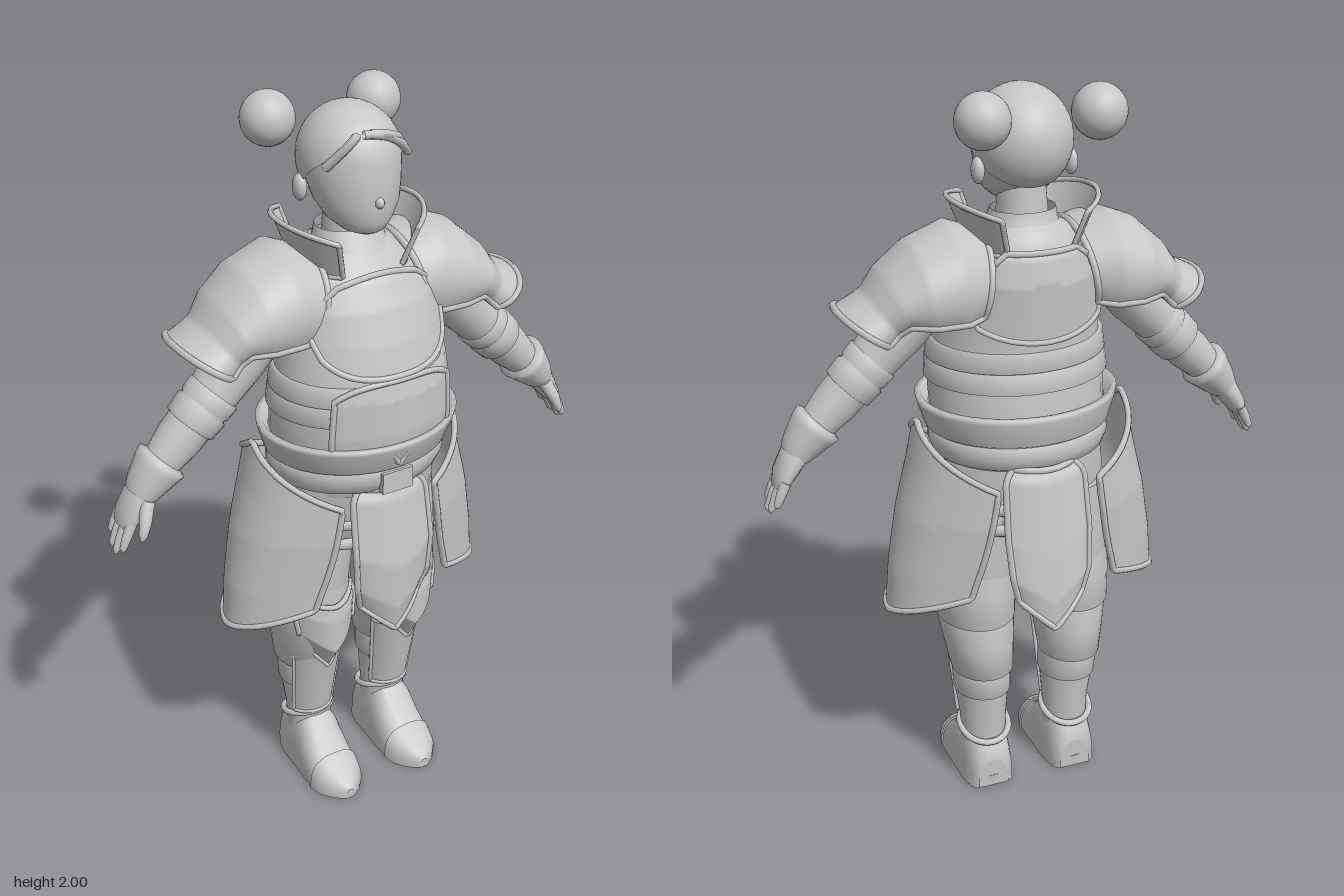
import * as THREE from 'three';
import { ParametricGeometry } from 'three/addons/geometries/ParametricGeometry.js';

const clay = new THREE.MeshStandardMaterial({ color: 0xc6c6c6, side: THREE.DoubleSide });
clay.name = 'light grey';
const V = (x, y, z) => new THREE.Vector3(x, y, z);
const { abs, sin, cos, pow, sign, PI } = Math;
const lerp = THREE.MathUtils.lerp;

function add(parent, name, geometry, x = 0, y = 0, z = 0) {
  const m = new THREE.Mesh(geometry, clay);
  m.name = name;
  m.position.set(x, y, z);
  parent.add(m);
  return m;
}

// Interpolates a table whose first column is the key (ascending)
function table(rows, k) {
  let i = 0;
  while (i < rows.length - 2 && k > rows[i + 1][0]) i++;
  const t = THREE.MathUtils.clamp((k - rows[i][0]) / (rows[i + 1][0] - rows[i][0]), 0, 1);
  return rows[i].map((a, j) => lerp(a, rows[i + 1][j], t));
}

// Skins closed rings of points, optionally capping both ends
function loft(rings, caps = true) {
  const n = rings[0].length, pos = [], idx = [];
  rings.forEach(r => r.forEach(p => pos.push(p.x, p.y, p.z)));
  for (let i = 0; i < rings.length - 1; i++)
    for (let j = 0; j < n; j++) {
      const a = i * n + j, b = i * n + (j + 1) % n;
      idx.push(a, a + n, b, b, a + n, b + n);
    }
  if (caps) [0, rings.length - 1].forEach((k, e) => {
    const c = rings[k].reduce((s, p) => s.add(p), V(0, 0, 0)).divideScalar(n);
    const start = pos.length / 3;
    pos.push(c.x, c.y, c.z);
    rings[k].forEach(p => pos.push(p.x, p.y, p.z));
    for (let j = 0; j < n; j++) {
      const a = start + 1 + j, b = start + 1 + (j + 1) % n;
      e ? idx.push(start, b, a) : idx.push(start, a, b);
    }
  });
  const g = new THREE.BufferGeometry();
  g.setAttribute('position', new THREE.Float32BufferAttribute(pos, 3));
  g.setIndex(idx);
  g.computeVertexNormals();
  return g;
}
const ring = (f, n = 32) => Array.from({ length: n }, (_, i) => f(i / n * 2 * PI));

// Upright body from rows of [y, centre x, half width, front z, back z]
const upright = (rows, caps) => loft(rows.map(([y, cx, w, zf, zb]) => ring(a =>
  V(cx + w * sin(a), y, (zf + zb) / 2 + (zf - zb) / 2 * cos(a)))), caps);

// Limb along points [x, y, z, thickness, z radius]
const limb = pts => loft(pts.map(([x, y, z, r, rz], i) => {
  const p = pts[Math.max(i - 1, 0)], q = pts[Math.min(i + 1, pts.length - 1)];
  const t = V(q[0] - p[0], q[1] - p[1], 0).normalize();
  return ring(a => V(x - t.y * r * cos(a), y + t.x * r * cos(a), z + rz * sin(a)), 20);
}));

// Curved plate f(u -1..1, v 0..1) with a raised rim
function plate(parent, name, f, rim = 0.008) {
  const g = new THREE.Group();
  g.name = name;
  parent.add(g);
  add(g, name + 'Face', new ParametricGeometry((u, v, t) => t.copy(f(u * 2 - 1, v)), 40, 20));
  const pts = [], n = 20;
  for (let i = 0; i < n; i++) pts.push(f(i / n * 2 - 1, 0));
  for (let i = 0; i < n; i++) pts.push(f(1, i / n));
  for (let i = 0; i < n; i++) pts.push(f(1 - i / n * 2, 1));
  for (let i = 0; i < n; i++) pts.push(f(-1, 1 - i / n));
  const curve = new THREE.CatmullRomCurve3(pts, true, 'catmullrom', 0.2);
  add(g, name + 'Rim', new THREE.TubeGeometry(curve, 120, rim, 6, true));
}

// Torso rows: y, half width, front z, back z
const TORSO = [[1.0, .215, .2, -.165], [1.1, .235, .225, -.175], [1.2, .24, .235, -.165], [1.3, .23, .235, -.15],
  [1.36, .22, .222, -.15], [1.44, .205, .2, -.155], [1.52, .195, .17, -.16], [1.58, .17, .135, -.15],
  [1.63, .12, .09, -.125], [1.66, .06, .055, -.08]];
function onTorso(a, y, off) {
  const [, w, zf, zb] = table(TORSO, y);
  return V((w + off) * sin(a), y, (zf + zb) / 2 + ((zf - zb) / 2 + off) * cos(a));
}
const band = list => loft(list.map(([y, off]) => ring(a => onTorso(a, y, off), 48)), false);

function buildTorso(g) {
  add(g, 'torso', upright(TORSO.map(([y, w, f, b]) => [y, 0, w, f, b])));
  const chest = [[0, .62], [.3, .95], [.55, 1.05], [.8, .95], [1, .85]];
  plate(g, 'chestPlate', (u, v) => onTorso(u * table(chest, v)[1],
    lerp(1.595 - .02 * u * u, 1.36 + .05 * pow(abs(u), 3), v), .022));
  plate(g, 'bellyPlate', (u, v) => onTorso(u * .72,
    lerp(1.35 - .04 * pow(abs(u), 3), 1.16 - .05 * Math.max(0, 1 - 6 * abs(u)), v), .022));
  plate(g, 'backPlate', (u, v) => onTorso(PI + u * table(chest, v)[1] * .9,
    lerp(1.6, 1.37 + .04 * u * u, v), .025));
  [[1.285, 1.335], [1.23, 1.28]].forEach(([a, b]) =>
    add(g, 'waistStrap', band([[a, 0], [a, .012], [b, .012], [b, 0]])));
  // Flared waist guard and rolled belt
  add(g, 'waistGuard', band([[1.085, .005], [1.095, .018], [1.16, .034], [1.175, .036], [1.175, .02], [1.15, .002]]));
  add(g, 'belt', band([[1.015, 0], [1.025, .014], [1.055, .02], [1.085, .014], [1.095, 0]]));
  add(g, 'buckle', new THREE.BoxGeometry(.09, .06, .02), 0, 1.055, .232);
  add(g, 'hips', upright([[.76, 0, .15, .1, -.11], [.83, 0, .225, .15, -.15], [.95, 0, .235, .185, -.165], [1.04, 0, .225, .2, -.165]]));
  [.84, .9].forEach(y => {
    const s = add(g, 'hipStrap', new THREE.TorusGeometry(1, .06, 8, 40).rotateX(PI / 2), 0, y, .005);
    s.scale.set(.225, .3, .165);
  });
}

function buildSkirt(g) {
  // Hanging front and back panels: v, half width, front z, back z
  const rows = [[0, .085, .222, -.195], [.07, .11, .235, -.21], [.5, .115, .262, -.24], [.8, .108, .258, -.258], [1, .09, .24, -.255]];
  [1, -1].forEach(s => plate(g, s > 0 ? 'frontPanel' : 'backPanel', (u, v) => {
    const [, w, zf, zb] = table(rows, v);
    const z = s > 0 ? zf : zb;
    return V(u * w, lerp(1.025, .58 + .085 * abs(u), v), z - s * .035 * u * u);
  }, .009));
}

function buildHead(g) {
  add(g, 'neck', new THREE.CylinderGeometry(.06, .075, .16, 24), 0, 1.66, -.01);
  add(g, 'shirtCollar', upright([[1.59, 0, .125, .12, -.13], [1.64, 0, .095, .085, -.1], [1.68, 0, .085, .06, -.09]], false));
  add(g, 'face', upright([[1.685, 0, .03, .105, .03], [1.695, 0, .055, .122, 0], [1.72, 0, .083, .132, -.05], [1.76, 0, .105, .139, -.085],
    [1.81, 0, .117, .138, -.115], [1.87, 0, .12, .136, -.125], [1.92, 0, .105, .122, -.12], [1.96, 0, .06, .07, -.08]]));
  const hair = new THREE.SphereGeometry(1, 40, 24, 0, PI * 2, 0, PI * .56).rotateX(-.7).scale(.129, .136, .141);
  add(g, 'hair', hair, 0, 1.85, -.004);
  // Swept fringe locks
  [[.0, .12, 1.86], [.02, .1, 1.89], [-.02, -.11, 1.86]].forEach(([x0, x1, y1]) => {
    const c = new THREE.QuadraticBezierCurve3(V(x0 - .03, 1.94, .113), V((x0 + x1) / 2, 1.935, .13), V(x1, y1, .07));
    add(g, 'fringeLock', new THREE.TubeGeometry(c, 16, .011, 6));
  });
  add(g, 'nose', new THREE.SphereGeometry(1, 12, 8).scale(.012, .014, .014), 0, 1.775, .138);
  [1, -1].forEach(s => {
    add(g, 'ear', new THREE.SphereGeometry(1, 16, 12).scale(.017, .034, .024), s * .124, 1.785, -.03);
    add(g, 'hairBun', new THREE.SphereGeometry(.069, 28, 20), s * .15, 1.93, -.138);
  });
}

function buildSide(g) {
  // Shoulder guard rows: v, top x, top y, bottom x, bottom y, front z, back z
  const guard = [[0, .12, 1.635, .165, 1.38, .135, -.165], [.2, .2, 1.665, .2, 1.36, .145, -.19], [.4, .3, 1.625, .27, 1.37, .14, -.18],
    [.65, .375, 1.56, .325, 1.4, .128, -.155], [.82, .42, 1.5, .345, 1.39, .112, -.132], [1, .492, 1.462, .355, 1.37, .122, -.138]];
  plate(g, 'shoulderGuard', (u, v) => {
    const [, tx, ty, bx, by, zf, zb] = table(guard, v);
    const a = u * 2.05, c = cos(a);
    return V((tx + bx) / 2 + (tx - bx) / 2 * c, (ty + by) / 2 + (ty - by) / 2 * c, (zf + zb) / 2 + (zf - zb) / 2 * sin(a));
  }, .009);
  plate(g, 'neckGuard', (u, v) => {
    const a = u * .95, r = lerp(.145, .192, v);
    return V(r * cos(a), lerp(1.59, 1.715 - .025 * u * u, v), -.012 + lerp(.15, .185, v) * sin(a));
  }, .007);
  // Arm, bracelets and gauntlet
  add(g, 'arm', limb([[.24, 1.5, .005, .08, .085], [.33, 1.39, .005, .075, .075], [.42, 1.295, .01, .062, .065],
    [.5, 1.215, .01, .06, .06], [.56, 1.155, .01, .047, .05], [.6, 1.11, .01, .04, .045]]));
  add(g, 'bracelet', limb([[.395, 1.32, .01, .06, .06], [.398, 1.317, .01, .072, .072], [.425, 1.29, .01, .07, .07],
    [.43, 1.285, .01, .064, .064], [.435, 1.28, .01, .072, .072], [.468, 1.247, .01, .069, .069], [.472, 1.243, .01, .056, .056]]));
  add(g, 'gauntletCuff', limb([[.545, 1.17, .01, .05, .05], [.55, 1.165, .01, .068, .072], [.565, 1.15, .01, .064, .068],
    [.6, 1.11, .01, .05, .056], [.615, 1.09, .01, .04, .05]]));
  add(g, 'hand', limb([[.59, 1.125, .01, .035, .042], [.62, 1.085, .008, .035, .052], [.65, 1.04, .005, .027, .054], [.665, 1.01, .003, .016, .045]]));
  [-.038, -.012, .014, .04].forEach((z, i) => {
    const l = [.055, .075, .08, .065][i];
    add(g, 'finger', limb([[.652, 1.035, z, .014, .014], [.652 + l * .3, 1.035 - l * .6, z * 1.05, .013, .0125],
      [.652 + l * .5, 1.035 - l * 1.05, z * 1.1, .01, .009], [.652 + l * .55, 1.035 - l * 1.2, z * 1.1, .003, .003]]));
  });
  add(g, 'thumb', limb([[.61, 1.09, .045, .02, .02], [.63, 1.045, .07, .017, .017], [.642, 1.01, .078, .012, .012], [.648, .995, .079, .003, .003]]));
  // Hip guard wrapping the side
  const hip = [[.58, .392, .195], [.72, .38, .205], [.88, .352, .222], [1.0, .32, .225], [1.14, .29, .215]];
  plate(g, 'hipGuard', (u, v) => {
    const y = lerp(1.135 - .15 * abs(u), .595 + .075 * pow(abs(u), 1.5), v);
    const [, rx, rz] = table(hip, y), a = u * lerp(1.12, 1.0, v * v);
    return V(rx * cos(a), y, rz * sin(a) - .002);
  }, .009);
  // Leg with layered thigh and calf armour: y, x, half width, front z, back z
  add(g, 'leg', upright([[.12, .127, .065, .04, -.09], [.2, .127, .066, .035, -.092], [.28, .13, .074, .052, -.105], [.38, .132, .078, .06, -.108],
    [.48, .135, .092, .1, -.12], [.6, .138, .1, .125, -.125], [.75, .135, .115, .135, -.135], [.92, .12, .115, .14, -.14]]));
  add(g, 'thighArmour', upright([[.375, .13, .07, .05, -.1], [.375, .132, .086, .062, -.138], [.46, .136, .098, .098, -.135],
    [.545, .139, .108, .125, -.13], [.55, .139, .1, .12, -.12]], false));
  add(g, 'upperThighArmour', upright([[.54, .138, .1, .11, -.12], [.54, .14, .108, .125, -.142], [.64, .14, .112, .135, -.138], [.7, .138, .108, .13, -.13]], false));
  add(g, 'calfBand', upright([[.3, .13, .07, .04, -.1], [.3, .13, .08, .06, -.12], [.37, .132, .082, .064, -.122], [.375, .132, .076, .055, -.11]], false));
  const knee = [[0, .088, .146], [.2, .094, .152], [.65, .084, .15], [1, .066, .1]];
  plate(g, 'kneeGuard', (u, v) => {
    const [, w, z] = table(knee, v);
    return V(.132 + u * w, lerp(.64 + .012 * abs(u), .41 + .085 * abs(u), v), z - .075 * u * u * (1 - .3 * v));
  });
  plate(g, 'shinGuard', (u, v) => {
    const y = lerp(.46, .205, v), a = u * 1.1, w = lerp(.088, .07, v), d = lerp(.1, .07, v);
    return V(.13 + w * sin(a), y, lerp(-.005, -.028, v) + d * cos(a));
  }, .006);
  const cuff = add(g, 'bootCuff', new THREE.TorusGeometry(.07, .009, 8, 32).rotateX(PI / 2), .127, .172, -.035);
  cuff.rotation.x = -.35;
  cuff.scale.z = 1.08;
  // Boot: z, half width, height
  const boot = [[-.112, .045, .085], [-.1, .062, .14], [-.06, .072, .175], [0, .074, .19], [.035, .075, .18], [.07, .076, .135],
    [.12, .076, .092], [.16, .066, .066], [.195, .038, .045], [.215, .008, .025]];
  const se = (t, p) => sign(t) * pow(abs(t), p);
  const section = (z, w, h) => ring(a => V(.127 + w * se(cos(a), .7), sin(a) > 0 ? h * se(sin(a), .75) : 0, z), 28);
  add(g, 'boot', loft(boot.map(r => section(...r))));
  add(g, 'toeCap', loft(boot.slice(6).map(([z, w, h]) => section(z + .002, w + .004, h + .005))));
  add(g, 'heel', upright([[0, .127, .06, .0, -.112], [.035, .127, .066, .0, -.114]]));
}

export function createModel() {
  const model = new THREE.Group();
  model.name = 'armouredFigure';
  const part = (name, build) => {
    const g = new THREE.Group();
    g.name = name;
    build(g);
    model.add(g);
    return g;
  };
  part('body', buildTorso);
  part('skirt', buildSkirt);
  part('head', buildHead);
  part('leftSide', buildSide);
  part('rightSide', buildSide).scale.x = -1;
  return model;
}
